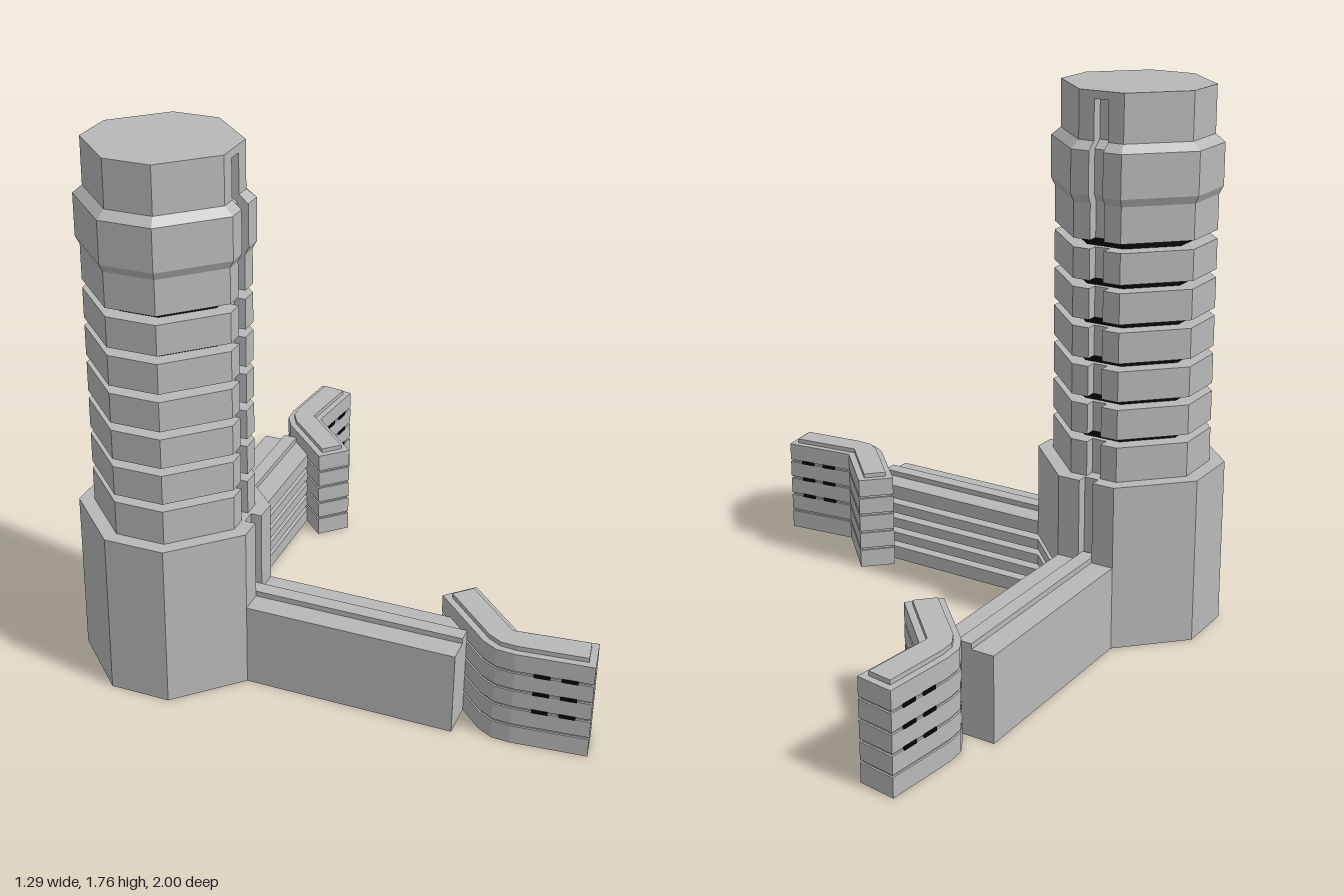
import * as THREE from 'three';

const grey = new THREE.MeshStandardMaterial({ color: 0xb8b8b8, flatShading: true });
grey.name = 'concrete grey';
const black = new THREE.MeshStandardMaterial({ color: 0x050505, flatShading: true });
black.name = 'groove black';

// Joins stacked plan outlines [points(x,z), y] into one closed solid.
function loft(sections) {
  const pos = [];
  const flip = THREE.ShapeUtils.area(sections[0][0].map(([x, z]) => new THREE.Vector2(x, z))) > 0;
  const rings = sections.map(([pts, y]) => (flip ? [...pts].reverse() : pts).map(([x, z]) => [x, y, z]));
  const n = rings[0].length;
  const tri = (a, b, c) => pos.push(...a, ...b, ...c);
  for (let k = 0; k + 1 < rings.length; k++) {
    for (let i = 0; i < n; i++) {
      const j = (i + 1) % n, lo = rings[k], hi = rings[k + 1];
      tri(lo[i], lo[j], hi[j]);
      tri(lo[i], hi[j], hi[i]);
    }
  }
  const bottom = rings[0], top = rings[rings.length - 1];
  const flat = bottom.map(p => new THREE.Vector2(p[0], -p[2]));
  for (const [a, b, c] of THREE.ShapeUtils.triangulateShape(flat, [])) {
    tri(top[a], top[b], top[c]);
    tri(bottom[a], bottom[c], bottom[b]);
  }
  const g = new THREE.BufferGeometry();
  g.setAttribute('position', new THREE.Float32BufferAttribute(pos, 3));
  g.computeVertexNormals();
  return g;
}

const prism = (pts, y0, y1) => loft([[pts, y0], [pts, y1]]);

function add(parent, name, geometry, material = grey) {
  const mesh = new THREE.Mesh(geometry, material);
  mesh.name = name;
  parent.add(mesh);
  return mesh;
}

// Eight-sided outline: h is half the width, f half of each straight side.
const octagon = (h, f = h / 2) => [
  [h, -f], [h, f], [f, h], [-f, h], [-h, f], [-h, -f], [-f, -h], [f, -h],
];

// The same outline with an upright slot in both diagonal faces towards +x.
function slotted(h, f = h / 2) {
  const c = (h + f) / 2, w = 0.017, d = 0.025;
  const slot = [[c + w, c - w], [c + w - d, c - w - d], [c - w - d, c + w - d], [c - w, c + w]];
  const mirrored = slot.map(([x, z]) => [x, -z]).reverse();
  const [a, b, ...rest] = octagon(h, f);
  return [a, b, ...slot, ...rest, ...mirrored];
}

// Moves every edge of an outline inwards by d.
function inset(pts, d) {
  const sign = THREE.ShapeUtils.area(pts.map(p => new THREE.Vector2(...p))) > 0 ? 1 : -1;
  const normal = (a, b) => {
    const l = Math.hypot(b[0] - a[0], b[1] - a[1]);
    return [-sign * (b[1] - a[1]) / l, sign * (b[0] - a[0]) / l];
  };
  return pts.map((p, i) => {
    const m = normal(pts[(i + pts.length - 1) % pts.length], p);
    const q = normal(p, pts[(i + 1) % pts.length]);
    const k = d / (1 + m[0] * q[0] + m[1] * q[1]);
    return [p[0] + k * (m[0] + q[0]), p[1] + k * (m[1] + q[1])];
  });
}

// Slabs of one outline from the ground to y = top, with a gap at each groove.
function addLayers(parent, name, pts, grooves, gap, top) {
  let y = 0;
  for (const g of grooves) {
    add(parent, name, prism(pts, y, g - gap / 2));
    y = g + gap / 2;
  }
  add(parent, name, prism(pts, y, top));
}

const WING_GROOVES = [0.058, 0.112, 0.167, 0.222];

function makeTower() {
  const tower = new THREE.Group();
  tower.name = 'tower';

  // Base: solid back, grooved front face, slotted upper part
  const cut = [[0.225, -0.185], [0.225, 0.185], ...octagon(0.275, 0.135).slice(2)];
  add(tower, 'baseBack', prism(cut, 0, 0.28));
  const front = [[0.225, -0.185], [0.225, 0.185], [0.275, 0.135], [0.275, -0.135]];
  addLayers(tower, 'baseFrontLayer', front, WING_GROOVES, 0.02, 0.28);
  const plate = [[0.22, -0.18], [0.22, 0.18], [0.227, 0.18], [0.227, -0.18]];
  add(tower, 'baseGrooveBack', prism(plate, 0.01, 0.27), black);
  add(tower, 'baseUpper', prism(slotted(0.275, 0.135), 0.28, 0.55));

  // Storey bands around a dark core
  add(tower, 'darkCore', prism(octagon(0.18, 0.09), 0.5, 1.35), black);
  for (let i = 0; i < 6; i++) {
    const y0 = i ? 0.69 + (i - 1) * 0.124 : 0.55;
    add(tower, 'storeyBand', prism(slotted(0.23), y0, 0.664 + i * 0.124));
  }

  // Flared crown and flat cap
  add(tower, 'crown', loft([
    [slotted(0.23), 1.312], [slotted(0.23), 1.425], [slotted(0.242), 1.45],
    [slotted(0.242), 1.585], [slotted(0.215), 1.61], [slotted(0.215), 1.735],
  ]));
  add(tower, 'cap', prism(octagon(0.215), 1.735, 1.76));
  tower.position.x = -0.375;
  return tower;
}

// Straight diagonal wing: solid outer wall, grooved inner face, raised top strip
function makeArm(s) {
  const arm = new THREE.Group();
  arm.name = s > 0 ? 'frontArm' : 'backArm';
  // Strip along the diagonal between two offsets measured from the outer edge
  const strip = (a, b, start = 0, end = 0.485) => [
    [start, a], [end, a], [end, b], [start, b],
  ].map(([t, o]) => [-0.24 + t + o, s * (0.275 + t - o)]);
  add(arm, 'armOuterWall', prism(strip(0, 0.1, -0.02), 0, 0.28));
  addLayers(arm, 'armInnerLayer', strip(0.1, 0.14), WING_GROOVES, 0.02, 0.28);
  add(arm, 'armGrooveBack', prism(strip(0.096, 0.103, 0, 0.48), 0.01, 0.27), black);
  add(arm, 'armRidge', prism(strip(0.053, 0.087, -0.02), 0.28, 0.298));
  return arm;
}

// Bent end block made of thin layers with a top plate
function makeEndBlock(s) {
  const block = new THREE.Group();
  block.name = s > 0 ? 'frontEndBlock' : 'backEndBlock';
  const plan = [
    [0.33, 0.485], [0.45, 0.485], [0.45, 0.745], [0.645, 0.9],
    [0.57, 1], [0.385, 0.85], [0.345, 0.805], [0.33, 0.75],
  ].map(([x, z]) => [x, s * z]);
  const grooves = [0.067, 0.132, 0.197, 0.262];
  addLayers(block, 'blockLayer', plan, grooves, 0.008, 0.327);
  add(block, 'blockCore', prism(inset(plan, 0.006), 0.01, 0.32));
  add(block, 'blockTopPlate', prism(inset(plan, 0.022), 0.327, 0.342));

  // Short dark slits on both faces of the angled half
  for (const [a, b] of [[plan[2], plan[3]], [plan[5], plan[4]]]) {
    for (const y of grooves.slice(1)) {
      for (const t of [0.35, 0.7]) {
        const slit = add(block, 'slit', new THREE.BoxGeometry(0.05, 0.012, 0.006), black);
        slit.position.set(a[0] + (b[0] - a[0]) * t, y, a[1] + (b[1] - a[1]) * t);
        slit.rotation.y = -Math.atan2(b[1] - a[1], b[0] - a[0]);
      }
    }
  }
  return block;
}

export function createModel() {
  const model = new THREE.Group();
  model.name = 'towerWithWings';
  const main = new THREE.Group();
  main.name = 'towerAndArms';
  main.position.z = -0.025;
  main.add(makeTower(), makeArm(1), makeArm(-1));
  model.add(main, makeEndBlock(1), makeEndBlock(-1));
  return model;
}
